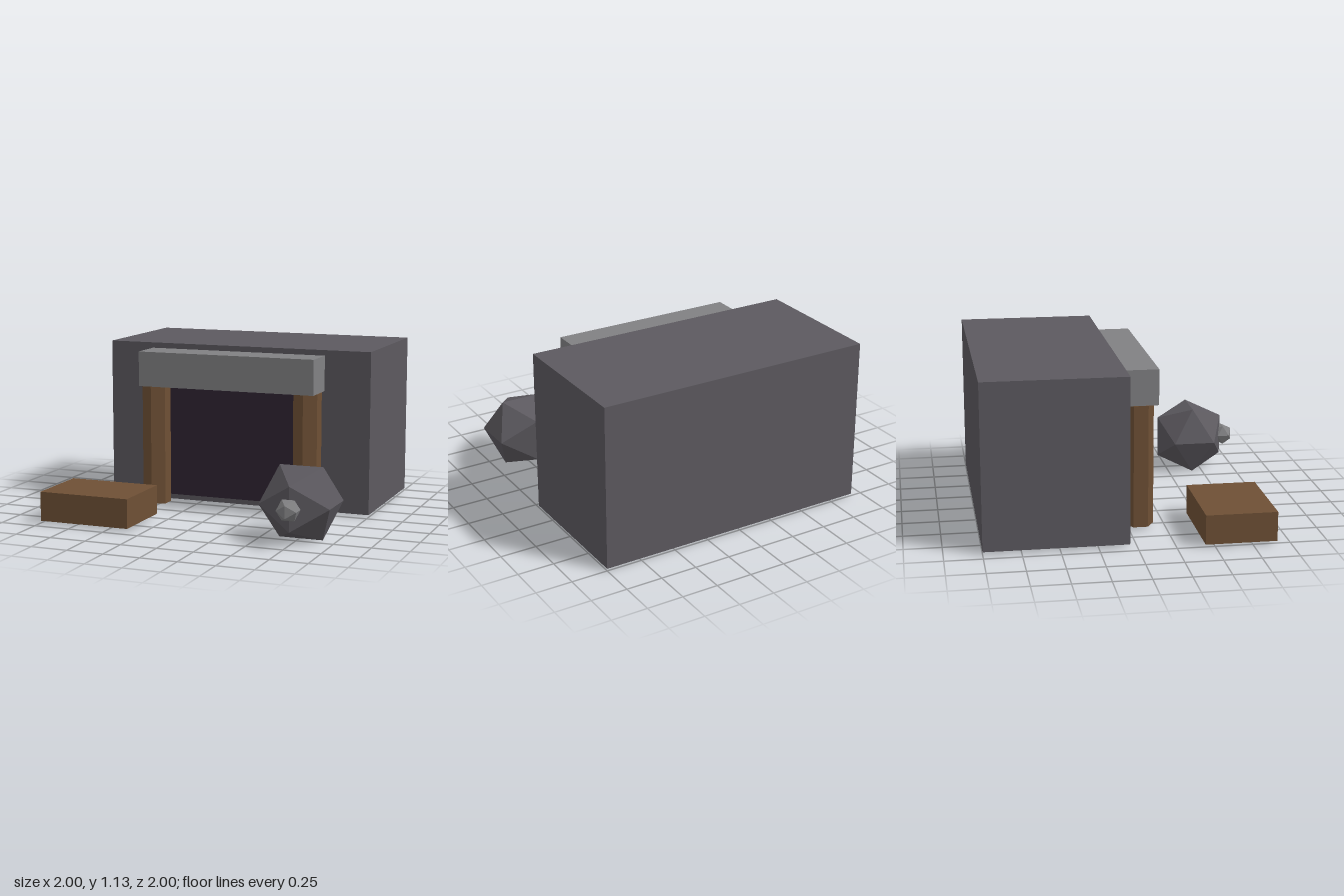
import * as THREE from 'three';

const material = (name, color) => {
  const m = new THREE.MeshStandardMaterial({ color, flatShading: true });
  m.name = name;
  return m;
};

export function createModel() {
  const group = new THREE.Group();
  const rock = material('dark rock', 0x5c595f);
  const stone = material('light stone', 0x818183);
  const wood = material('brown wood', 0x6e5035);
  const shade = material('dark purple', 0x302433);

  const add = (name, geometry, mat, x, y, z) => {
    const mesh = new THREE.Mesh(geometry, mat);
    mesh.name = name;
    mesh.position.set(x, y, z);
    group.add(mesh);
  };
  // Box given by its lower and upper corners
  const box = (name, mat, [x0, y0, z0], [x1, y1, z1]) =>
    add(name, new THREE.BoxGeometry(x1 - x0, y1 - y0, z1 - z0), mat,
      (x0 + x1) / 2, (y0 + y1) / 2, (z0 + z1) / 2);

  // Rock mass with the dark entrance and its lintel
  box('rockBlock', rock, [-0.92, 0.017, -1], [1, 1.135, -0.045]);
  box('entrance', shade, [-0.46, 0.058, -0.06], [0.54, 0.87, -0.01]);
  box('lintel', stone, [-0.6, 0.855, -0.045], [0.676, 1.097, 0.197]);

  // Six-sided posts either side of the entrance
  const postGeometry = new THREE.CylinderGeometry(0.098, 0.098, 0.838, 6);
  for (const side of [-1, 1]) {
    add(side < 0 ? 'rightPost' : 'leftPost', postGeometry, wood, 0.038 + side * 0.558, 0.436, 0.078);
  }

  // Crate and boulders in front
  box('crate', wood, [-1, 0.017, 0.437], [-0.362, 0.216, 0.914]);
  add('boulder', new THREE.IcosahedronGeometry(0.28), rock, 0.759, 0.24, 0.676);
  add('smallStone', new THREE.IcosahedronGeometry(0.08), stone, 0.759, 0.24, 0.932);

  return group;
}
